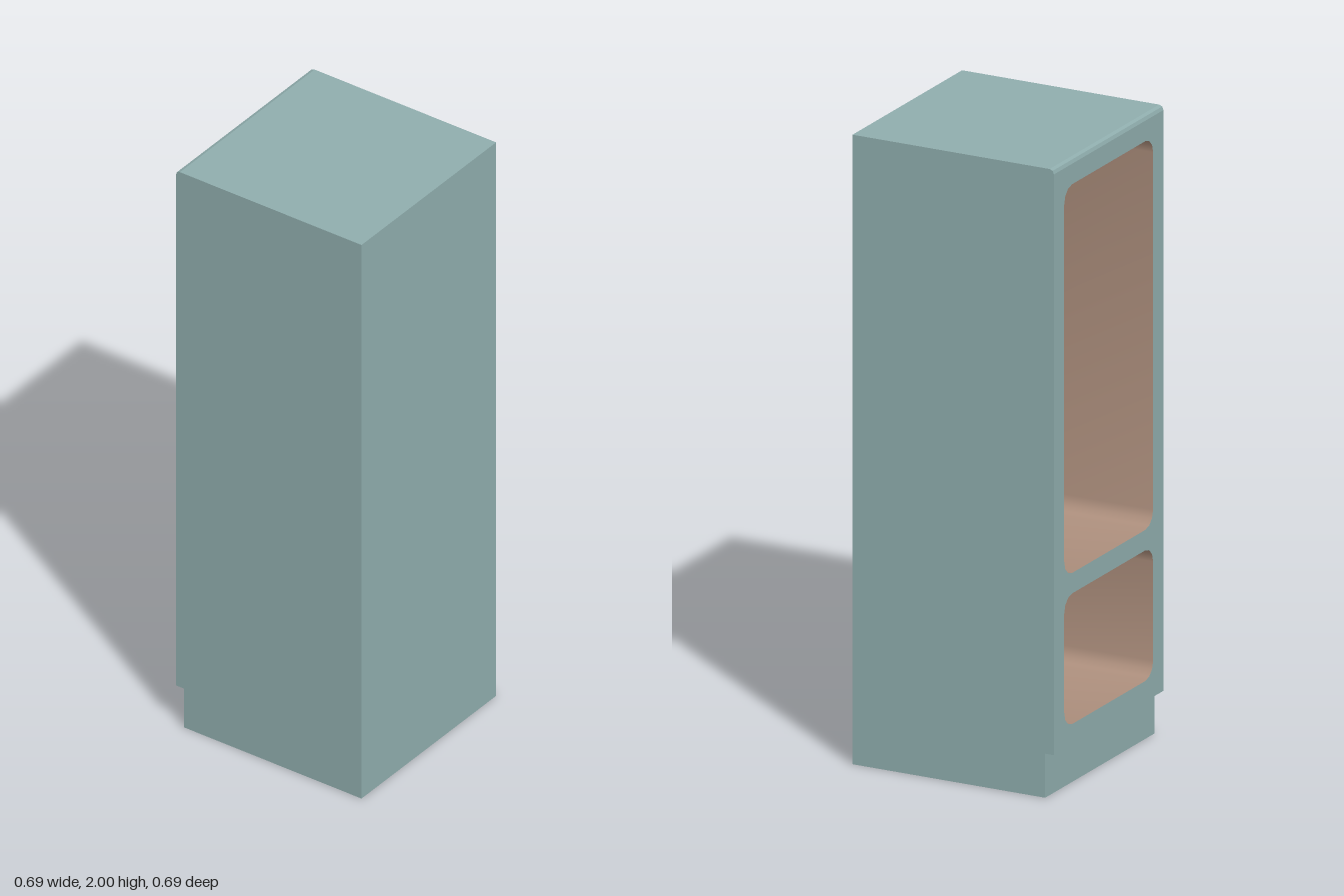
import * as THREE from 'three';
import { toCreasedNormals } from 'three/addons/utils/BufferGeometryUtils.js';

const H = 0.345;        // half width and half depth
const WALL = 0.05;      // side panel thickness
const LINER_BACK = 0.285;

const bodyPaint = new THREE.MeshStandardMaterial({ color: 0x8fadad });
bodyPaint.name = 'grey green paint';
const linerTan = new THREE.MeshStandardMaterial({ color: 0xad8f7d });
linerTan.name = 'tan liner';

function addMesh(group, name, geometry, material) {
  const mesh = new THREE.Mesh(geometry, material);
  mesh.name = name;
  group.add(mesh);
  return mesh;
}

// Extrude an x-y profile along z between two depths
function slab(points, z0, z1) {
  const shape = new THREE.Shape(points.map(([x, y]) => new THREE.Vector2(x, y)));
  const g = new THREE.ExtrudeGeometry(shape, { depth: z1 - z0, bevelEnabled: false });
  return g.translate(0, 0, z0);
}

// Counter-clockwise rounded rectangle as a list of points
function roundedRect(w, y0, y1, r, steps = 3) {
  const pts = [];
  const centres = [[w - r, y1 - r], [-w + r, y1 - r], [-w + r, y0 + r], [w - r, y0 + r]];
  centres.forEach(([cx, cy], k) => {
    for (let i = 0; i <= steps; i++) {
      const a = (k + i / steps) * Math.PI / 2;
      pts.push(new THREE.Vector2(cx + r * Math.cos(a), cy + r * Math.sin(a)));
    }
  });
  return pts;
}

// Inward-facing tube of a compartment, from the open side to its back
function linerWalls(pts) {
  const pos = [];
  pts.forEach((p, i) => {
    const q = pts[(i + 1) % pts.length];
    pos.push(p.x, p.y, H, q.x, q.y, H, p.x, p.y, -LINER_BACK);
    pos.push(q.x, q.y, H, q.x, q.y, -LINER_BACK, p.x, p.y, -LINER_BACK);
  });
  const g = new THREE.BufferGeometry();
  g.setAttribute('position', new THREE.Float32BufferAttribute(pos, 3));
  return toCreasedNormals(g, Math.PI / 3);
}

export function createModel() {
  const model = new THREE.Group();
  model.name = 'cabinet';

  // Outer outline with eased top edge and toe-kick notch on the open side
  const outline = [
    [-H, 0.14], [-0.315, 0.14], [-0.315, 0], [H, 0], [H, 2],
    [-0.33, 2], [-0.341, 1.996], [-H, 1.985],
  ];
  addMesh(model, 'frontPanel', slab(outline, H - WALL, H), bodyPaint);
  addMesh(model, 'backPanel', slab(outline, -H, -H + WALL), bodyPaint);

  // Floor, closed side and roof between the panels
  const core = [...outline, [-H, 1.95], [0.3, 1.95], [0.3, 0.17], [-H, 0.17]];
  addMesh(model, 'floorWallRoof', slab(core, -H + WALL, H - WALL), bodyPaint);

  // Open side, built facing local +z and turned to face -x
  const openSide = new THREE.Group();
  openSide.name = 'openSide';
  openSide.rotation.y = -Math.PI / 2;
  model.add(openSide);

  const w = H - WALL;
  const face = new THREE.Shape([[-w, 0.17], [w, 0.17], [w, 1.95], [-w, 1.95]]
    .map(([x, y]) => new THREE.Vector2(x, y)));
  const compartments = { lower: [0.205, 0.62], upper: [0.685, 1.92] };

  for (const [name, [y0, y1]] of Object.entries(compartments)) {
    const pts = roundedRect(0.28, y0, y1, 0.05);
    face.holes.push(new THREE.Path(pts));
    addMesh(openSide, `${name}Liner`, linerWalls(pts), linerTan);
    const back = new THREE.ShapeGeometry(new THREE.Shape(pts)).translate(0, 0, -LINER_BACK);
    addMesh(openSide, `${name}LinerBack`, back, linerTan);
  }
  addMesh(openSide, 'faceFrame', new THREE.ShapeGeometry(face).translate(0, 0, H), bodyPaint);

  return model;
}
